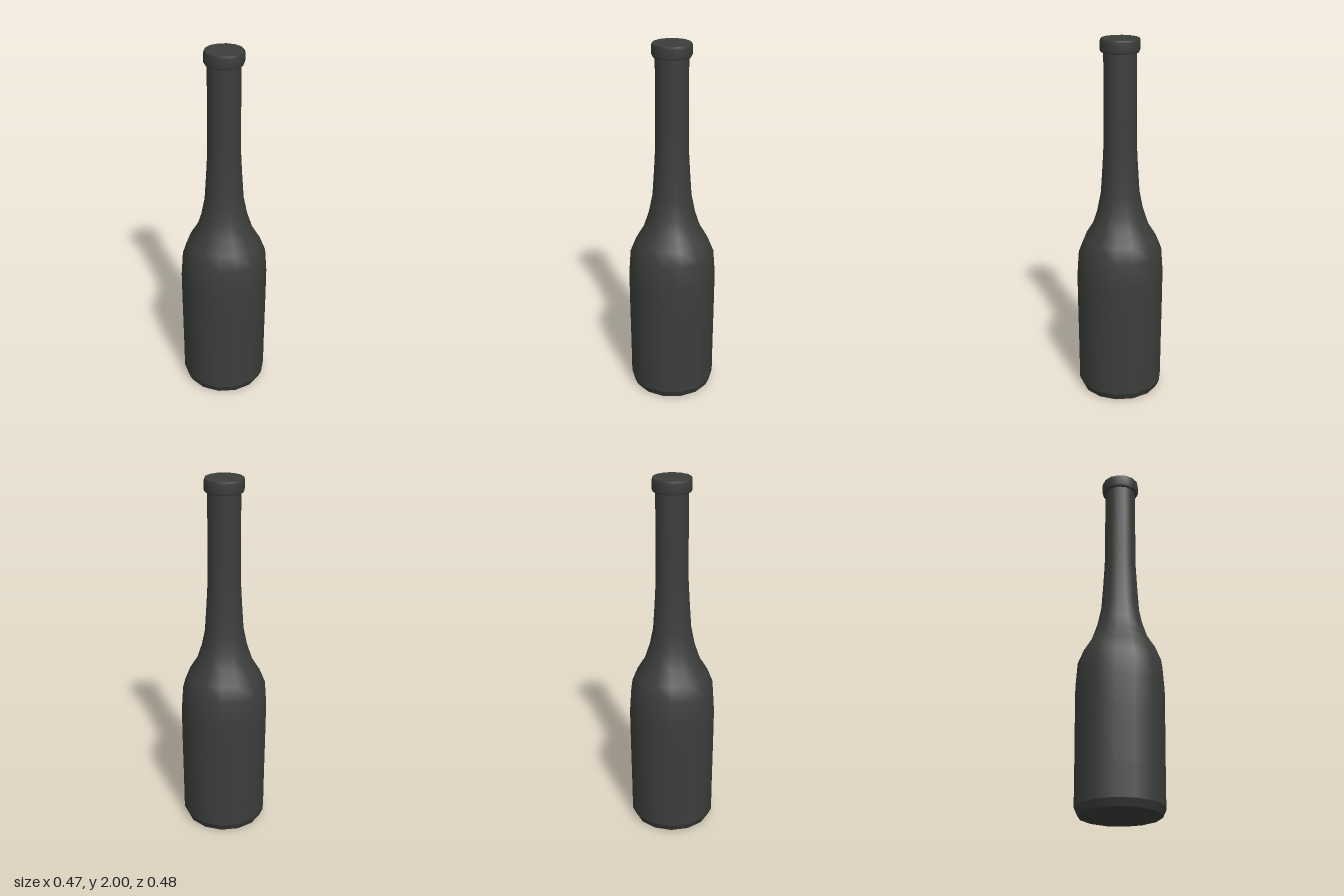
import * as THREE from 'three';

const SIDES = 14;
const glass = new THREE.MeshStandardMaterial({ color: 0x3b3e3b });

// Turns a [radius, height] profile, listed from bottom to top, around the y axis
function turned(name, profile) {
  const points = profile.map(([r, y]) => new THREE.Vector2(r, y));
  const mesh = new THREE.Mesh(new THREE.LatheGeometry(points, SIDES), glass);
  mesh.name = name;
  return mesh;
}

export function createModel() {
  const bottle = new THREE.Group();
  bottle.name = 'bottle';

  // Separate bands keep the edges between them sharp
  bottle.add(
    turned('base', [[0, 0], [0.218, 0]]),
    turned('baseBevel', [[0.218, 0], [0.236, 0.04]]),
    turned('bodyAndNeck', [
      [0.236, 0.04], [0.237, 0.22], [0.24, 0.52], [0.241, 0.69], [0.231, 0.83],
      [0.199, 0.91], [0.156, 0.98], [0.126, 1.07], [0.106, 1.17],
      [0.096, 1.32], [0.089, 1.45], [0.088, 1.6], [0.088, 1.935],
    ]),
    turned('lipUnderside', [[0.088, 1.93], [0.1, 1.93]]),
    turned('lip', [[0.1, 1.93], [0.106, 1.942], [0.106, 1.988], [0.102, 2]]),
    turned('cap', [[0.102, 2], [0, 2]]),
  );
  return bottle;
}
